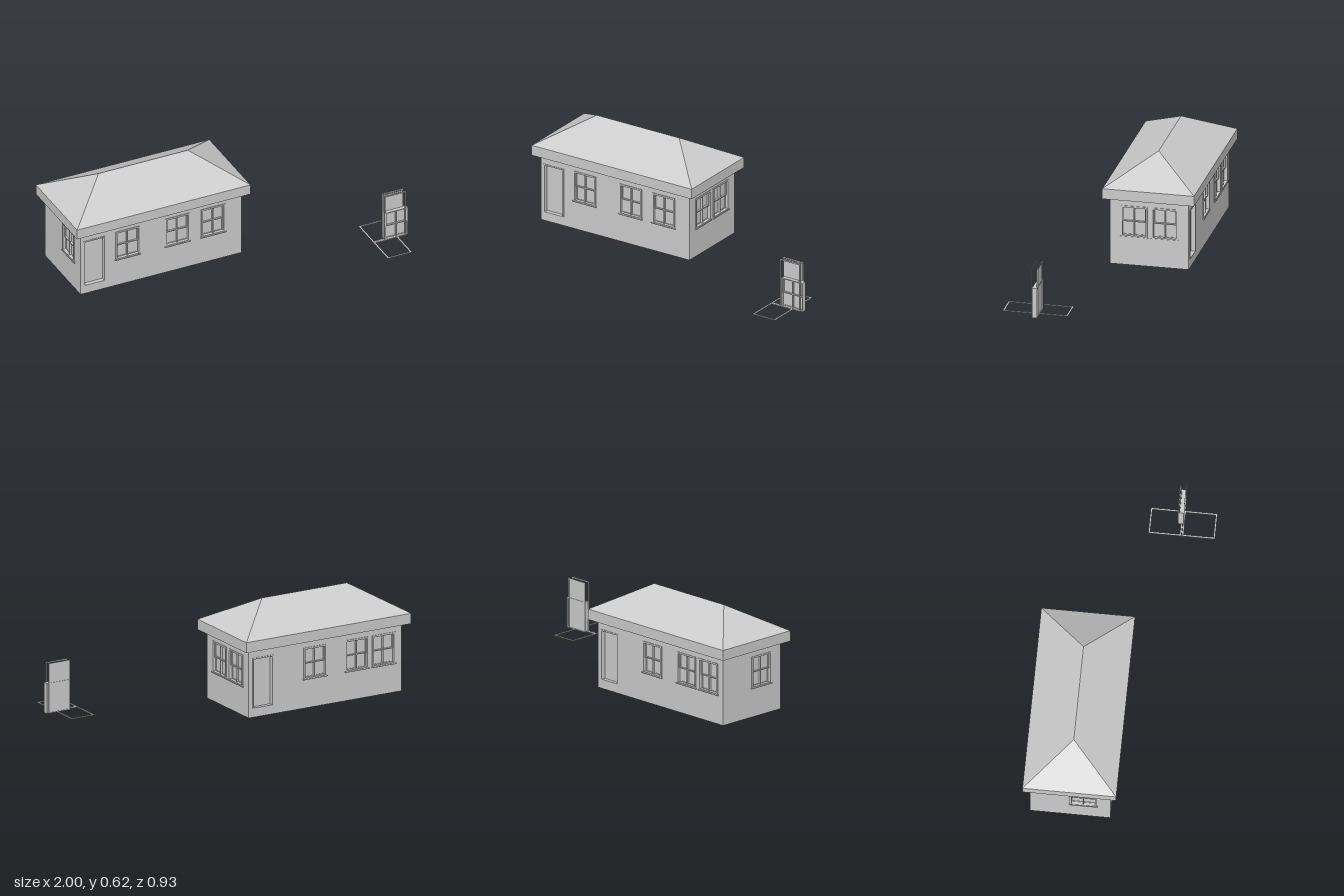
import * as THREE from 'three';
import { ConvexGeometry } from 'three/addons/geometries/ConvexGeometry.js';

const material = new THREE.MeshStandardMaterial({ color: 0xcccccc, flatShading: true });
const WALL = { x0: -0.96, x1: 0.06, z0: -0.425, z1: 0.035, h: 0.405, t: 0.03 };
const WIN = { w: 0.145, h: 0.18, y: 0.175 };
const DOOR = { w: 0.125, h: 0.29, y: 0.055 };

function add(parent, name, geometry, x = 0, y = 0, z = 0) {
  const mesh = new THREE.Mesh(geometry, material);
  mesh.name = name;
  mesh.position.set(x, y, z);
  parent.add(mesh);
  return mesh;
}

function group(parent, name, x = 0, y = 0, z = 0) {
  const g = new THREE.Group();
  g.name = name;
  g.position.set(x, y, z);
  if (parent) parent.add(g);
  return g;
}

function box(parent, name, w, h, d, x, y, z) {
  return add(parent, name, new THREE.BoxGeometry(w, h, d), x, y, z);
}

// Counter-clockwise rectangle from its lower-left corner
function rect(Type, x, y, w, h) {
  const p = new Type();
  p.moveTo(x, y);
  p.lineTo(x + w, y);
  p.lineTo(x + w, y + h);
  p.lineTo(x, y + h);
  p.closePath();
  return p;
}

function extrude(shape, depth) {
  return new THREE.ExtrudeGeometry(shape, { depth, bevelEnabled: false });
}

// Rectangular border, centred on x, standing on y = 0, from z = 0 to depth
function frame(w, h, bar, depth, openBottom = false) {
  const shape = rect(THREE.Shape, -w / 2, 0, w, h);
  const low = openBottom ? 0.001 : bar;
  shape.holes.push(rect(THREE.Path, -w / 2 + bar, low, w - 2 * bar, h - bar - low));
  return extrude(shape, depth);
}

// Sash window filling the wall thickness; z = 0 is the inner face
function windowInsert(parent, x, y, z) {
  const g = group(parent, 'windowInsert', x, y, z);
  const { w, h } = WIN;
  add(g, 'windowLining', frame(w, h, 0.005, WALL.t));
  add(g, 'lowerSash', frame(w - 0.01, h / 2, 0.006, 0.008), 0, 0.003, 0.008);
  add(g, 'upperSash', frame(w - 0.01, h / 2, 0.006, 0.008), 0, h / 2 - 0.003, 0.016);
  box(g, 'mullion', 0.006, h - 0.01, 0.02, 0, h / 2, 0.016);
  box(g, 'glass', w - 0.01, h - 0.01, 0.003, 0, h / 2, 0.012);
  return g;
}

function windowTrim(parent, x, y, z) {
  return add(parent, 'windowTrim', frame(WIN.w + 0.01, WIN.h + 0.01, 0.01, 0.004), x, y, z);
}

function doorSet(parent, x, y, z) {
  const g = group(parent, 'door', x, y, z);
  box(g, 'doorLeaf', DOOR.w, DOOR.h, 0.005, 0, DOOR.h / 2, 0.004);
  for (const tz of [-0.003, WALL.t]) {
    add(g, 'doorTrim', frame(DOOR.w + 0.014, DOOR.h + 0.008, 0.008, 0.003, true), 0, 0, tz);
  }
  return g;
}

// Wall with openings; local z runs from the inner to the outer face
function wall(parent, name, u0, u1, windows, door) {
  const g = group(parent, name);
  const shape = rect(THREE.Shape, u0, 0, u1 - u0, WALL.h);
  for (const u of windows) {
    shape.holes.push(rect(THREE.Path, u - WIN.w / 2, WIN.y, WIN.w, WIN.h));
    windowInsert(g, u, WIN.y, 0);
    windowTrim(g, u, WIN.y - 0.005, WALL.t);
    windowTrim(g, u, WIN.y - 0.005, -0.004);
    box(g, 'windowSill', WIN.w + 0.018, 0.006, 0.008, u, WIN.y - 0.003, WALL.t + 0.003);
  }
  if (door !== undefined) {
    shape.holes.push(rect(THREE.Path, door - DOOR.w / 2, DOOR.y, DOOR.w, DOOR.h));
    doorSet(g, door, DOOR.y, 0);
  }
  add(g, name + 'Panel', extrude(shape, WALL.t));
  return g;
}

function house(parent) {
  const g = group(parent, 'house');
  const { x0, x1, z0, z1, h, t } = WALL;

  const front = wall(g, 'frontWall', x0, x1, [-0.66, -0.345, -0.118], -0.872);
  front.position.z = z1 - t;

  const back = wall(g, 'backWall', -x1, -x0, [0.383, 0.662, 0.84], 0.035);
  back.rotation.y = Math.PI;
  back.position.z = z0 + t;

  const left = wall(g, 'leftWall', -z1 + t, -z0 - t, [0.105, 0.285]);
  left.rotation.y = Math.PI / 2;
  left.position.x = x1 - t;

  const right = wall(g, 'rightWall', z0 + t, z1 - t, [-0.12]);
  right.rotation.y = -Math.PI / 2;
  right.position.x = x0 + t;

  // Inner wall dividing the two rooms
  box(g, 'partition', 0.02, h, z1 - z0 - 2 * t, -0.54, h / 2, (z0 + z1) / 2);

  // Hipped roof with deep eaves
  const points = [];
  for (const x of [-1, 0.1]) {
    for (const z of [-0.465, 0.072]) {
      for (const y of [0.405, 0.467]) points.push(new THREE.Vector3(x, y, z));
    }
  }
  for (const x of [-0.733, -0.167]) points.push(new THREE.Vector3(x, 0.622, -0.197));
  add(g, 'roof', new ConvexGeometry(points));
}

export function createModel() {
  const model = group(null, 'houseWithSpareParts');
  house(model);

  // Spare door and window standing beside the house
  const spares = group(model, 'spareParts');
  doorSet(spares, 0.917, 0, 0.247);
  windowInsert(spares, 0.9275, 0, 0.246);

  // Two window trims lying flat on the ground
  for (const z of [0.27, 0.462]) {
    windowTrim(spares, 0.858, 0, z).rotation.x = -Math.PI / 2;
  }
  return model;
}
